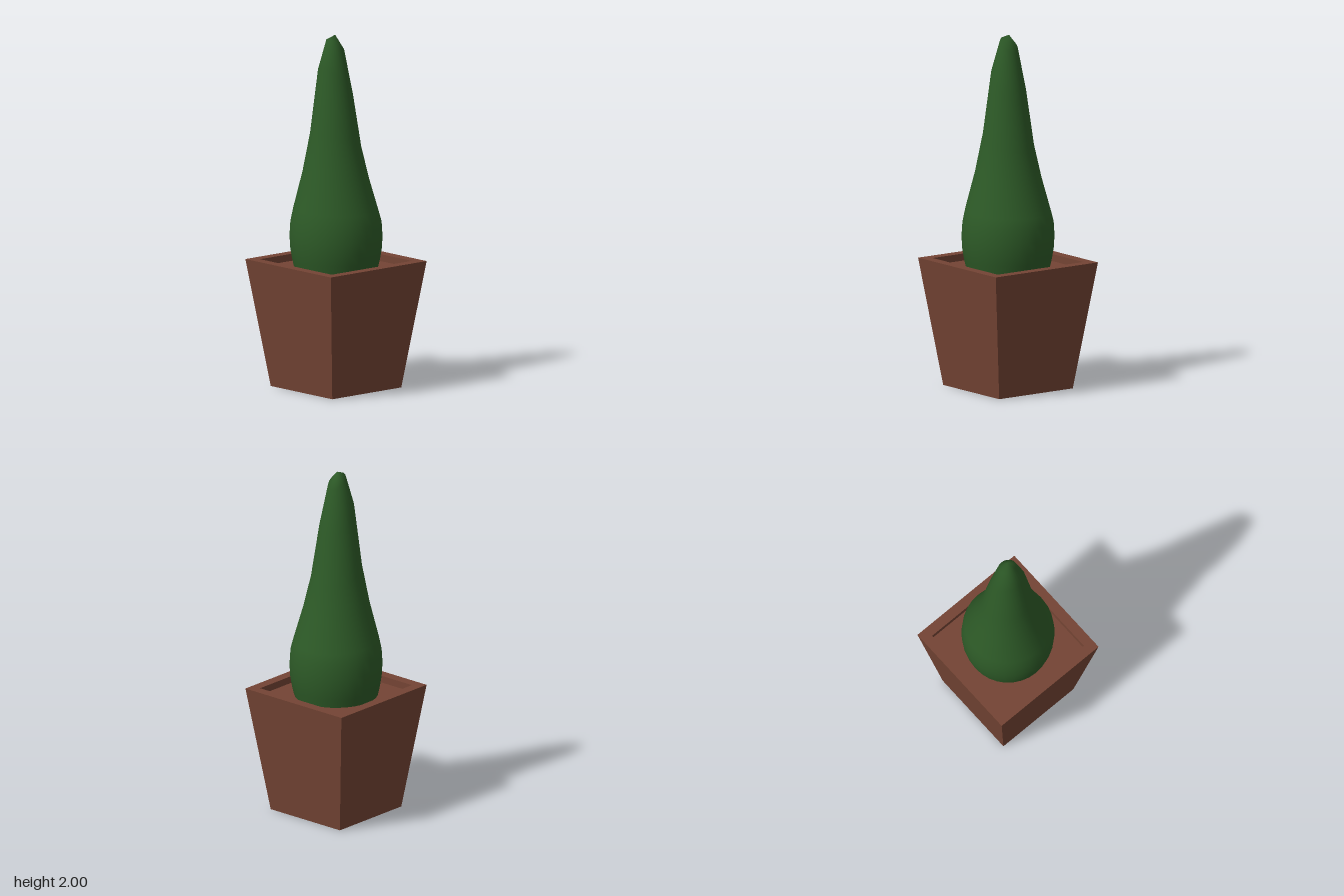
import * as THREE from 'three';
import { mergeVertices } from 'three/addons/utils/BufferGeometryUtils.js';

const terracotta = new THREE.MeshStandardMaterial({ color: 0x744434 });
terracotta.name = 'terracotta';
const foliage = new THREE.MeshStandardMaterial({ color: 0x2d5a27 });
foliage.name = 'foliage green';

// Square tapered pot: one four-sided profile from the base, over the rim, to the sunken floor
function makePot() {
  const profile = [[0, 0], [0.258, 0], [0.358, 0.72], [0.3, 0.72], [0.3, 0.68], [0, 0.68]]
    .map(([half, y]) => new THREE.Vector2(half * Math.SQRT2, y));
  const geometry = new THREE.LatheGeometry(profile, 4, Math.PI / 4).toNonIndexed();
  geometry.computeVertexNormals();
  const pot = new THREE.Mesh(geometry, terracotta);
  pot.name = 'pot';
  return pot;
}

// Clipped conical shrub: round rings [radius, height, lean], upper rings rising towards +z
function makeShrub() {
  const rings = [
    [0.232, 0.67, 0], [0.246, 0.73, 0], [0.256, 0.79, 0], [0.26, 0.86, 0],
    [0.255, 0.94, 0], [0.24, 1.005, 0.05], [0.186, 1.205, 0.15],
    [0.143, 1.405, 0.38], [0.098, 1.73, 0.95], [0.05, 1.943, 0.76], [0, 2, 0],
  ];
  const segments = 32;
  const profile = rings.map(([r, y]) => new THREE.Vector2(r, y));
  let geometry = new THREE.LatheGeometry(profile, segments);
  const pos = geometry.attributes.position;
  for (let i = 0; i < pos.count; i++) {
    const [, y, lean] = rings[i % rings.length];
    pos.setY(i, y + lean * pos.getZ(i));
    // The tip drifts slightly to one side
    pos.setX(i, pos.getX(i) - 0.007 * Math.max(0, y - 1));
  }
  // Weld the seam so the surface shades smoothly all round
  geometry.deleteAttribute('normal');
  geometry.deleteAttribute('uv');
  geometry = mergeVertices(geometry);
  geometry.computeVertexNormals();
  const shrub = new THREE.Mesh(geometry, foliage);
  shrub.name = 'shrub';
  return shrub;
}

export function createModel() {
  const group = new THREE.Group();
  group.name = 'pottedShrub';
  group.add(makePot(), makeShrub());
  return group;
}
